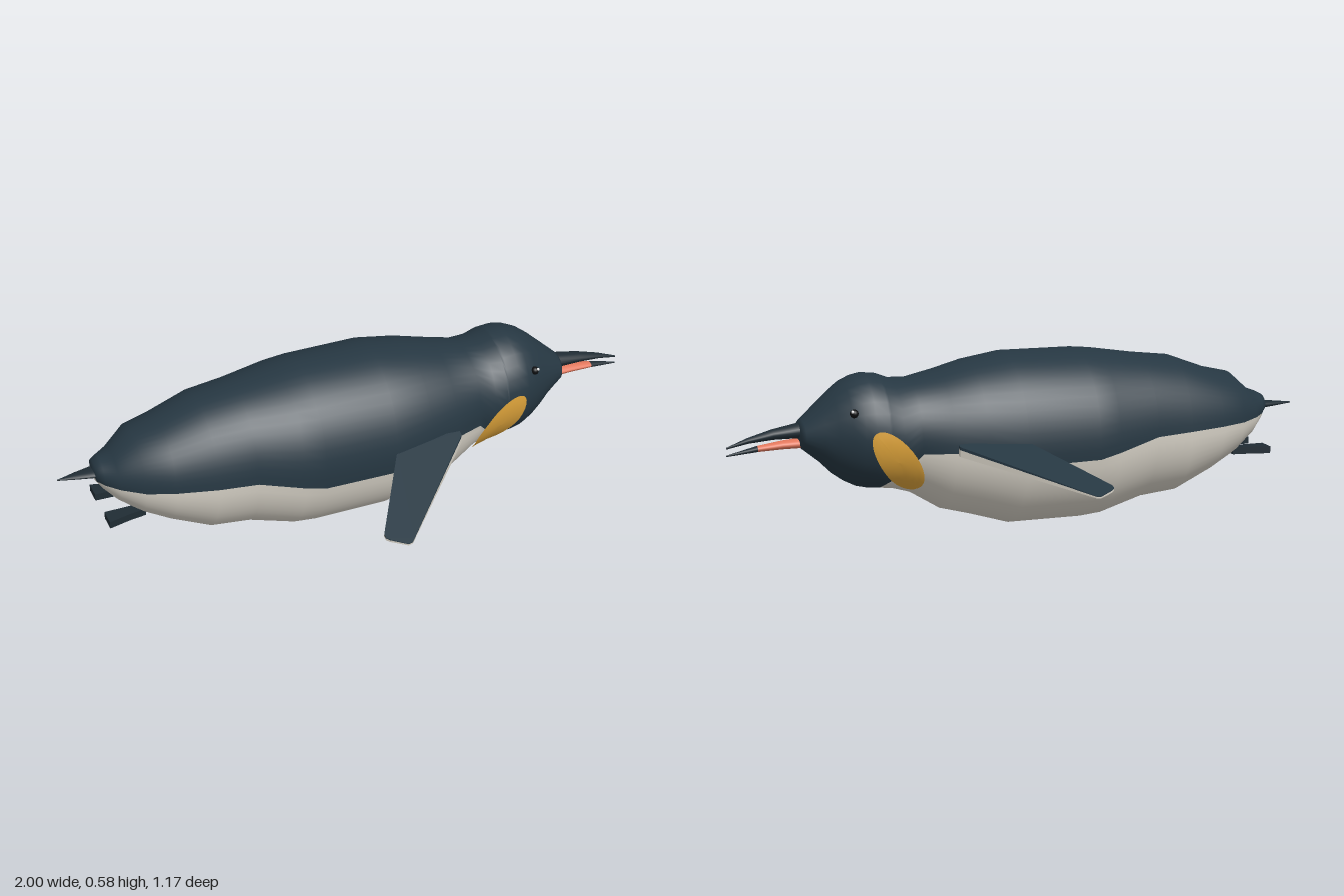
import * as THREE from 'three';

const mat = (name, color, side = THREE.FrontSide) => {
  const m = new THREE.MeshStandardMaterial({ color, side });
  m.name = name;
  return m;
};

// Body stations along x: [x, bottom, top, half width]
const BODY = [
  [-0.885, 0.34, 0.345, 0.002], [-0.88, 0.31, 0.375, 0.045], [-0.86, 0.28, 0.385, 0.065],
  [-0.82, 0.235, 0.4, 0.1], [-0.75, 0.178, 0.462, 0.147], [-0.66, 0.128, 0.483, 0.178],
  [-0.53, 0.067, 0.532, 0.207], [-0.4, 0.055, 0.548, 0.22], [-0.25, 0.012, 0.572, 0.252],
  [-0.18, 0.006, 0.579, 0.257], [0.07, 0.008, 0.582, 0.257], [0.2, 0.048, 0.562, 0.235],
  [0.3, 0.075, 0.536, 0.215], [0.4, 0.137, 0.515, 0.178], [0.46, 0.155, 0.518, 0.174],
  [0.5, 0.16, 0.534, 0.175], [0.508, 0.161, 0.536, 0.175], [0.55, 0.165, 0.54, 0.174],
  [0.585, 0.173, 0.533, 0.166], [0.62, 0.191, 0.518, 0.15], [0.66, 0.22, 0.488, 0.125],
  [0.7, 0.26, 0.452, 0.1], [0.755, 0.305, 0.402, 0.07], [0.766, 0.315, 0.392, 0.05],
  [0.768, 0.352, 0.354, 0.002],
];
const BIB_END = 0.508;

// Height where the belly meets the back: [x, y]
const SEAM = [
  [-0.885, 0.32], [-0.79, 0.31], [-0.53, 0.305], [-0.4, 0.3], [-0.18, 0.248], [-0.05, 0.24],
  [0.07, 0.245], [0.3, 0.298], [0.4, 0.295], [0.46, 0.225], [0.5, 0.19], [BIB_END, 0.16], [1, 0],
];

// Row of a table interpolated at x
function rowAt(table, x) {
  const i = Math.max(1, table.findIndex((r) => r[0] >= x)), a = table[i - 1], b = table[i];
  return a.map((v, n) => THREE.MathUtils.mapLinear(x, a[0], b[0], v, b[n]));
}

const radii = ([, bot, top]) => [(bot + top) / 2, (top - bot) / 2];

// Indexed grid of rows x columns, facing out along row direction x column direction
function grid(pos, rows, cols) {
  const index = [];
  for (let i = 1; i < rows; i++) {
    for (let j = 1; j < cols; j++) {
      const q = i * cols + j, p = q - cols;
      index.push(p - 1, q - 1, p, q - 1, q, p);
    }
  }
  const g = new THREE.BufferGeometry();
  g.setAttribute('position', new THREE.Float32BufferAttribute(pos, 3));
  g.setIndex(index);
  g.computeVertexNormals();
  return g;
}

// Skin of elliptical cross-sections; range gives the start and end angle of each
function skin(stations, range = () => [0, 2 * Math.PI], seg = 28) {
  const pos = [];
  for (const s of stations) {
    const [cy, h] = radii(s), [a, b] = range(s);
    for (let j = 0; j <= seg; j++) {
      const t = a + (b - a) * j / seg;
      pos.push(s[0], cy + h * Math.sin(t), s[3] * Math.cos(t));
    }
  }
  return grid(pos, stations.length, seg + 1);
}

// Angle at which the colour line crosses a body station
function seam(s) {
  const [cy, h] = radii(s);
  return Math.asin(THREE.MathUtils.clamp((rowAt(SEAM, s[0])[1] - cy) / h, -1, 1));
}

// Distance of the body surface from the middle plane at (x, y)
function surfaceZ(x, y) {
  const s = rowAt(BODY, x), [cy, h] = radii(s);
  return s[3] * Math.sqrt(Math.max(0, 1 - ((y - cy) / h) ** 2));
}

// Plate with an (x, z) outline whose two faces follow height rules of z
function plate(outline, side, topAt, bottomAt) {
  const shape = new THREE.Shape(outline.map(([x, z]) => new THREE.Vector2(x, z * side)));
  const g = new THREE.ExtrudeGeometry(shape, { depth: 1, bevelEnabled: false });
  const p = g.attributes.position;
  for (let i = 0; i < p.count; i++) {
    const z = p.getY(i), w = Math.abs(z);
    p.setXYZ(i, p.getX(i), THREE.MathUtils.lerp(topAt(w), bottomAt(w), p.getZ(i)), z);
  }
  g.computeVertexNormals();
  return g;
}

// Slanted oval laid just above the side of the neck
function neckPatch(side) {
  const pos = [], rings = 6, seg = 32, c = Math.cos(0.9), s = Math.sin(0.9);
  for (let r = 0; r <= rings; r++) {
    for (let j = 0; j <= seg; j++) {
      const t = side * j / seg * 2 * Math.PI;
      const u = 0.126 * r / rings * Math.cos(t), v = 0.054 * r / rings * Math.sin(t);
      const x = 0.48 + u * c - v * s, y = 0.275 + u * s + v * c;
      const drop = Math.max(0, 0.34 - y) * 0.03;
      pos.push(x, y - drop, side * (surfaceZ(x, y) + 0.006));
    }
  }
  return grid(pos, rings + 1, seg + 1);
}

export function createModel() {
  const navy = mat('darkPlumage', 0x263742);
  const white = mat('paleBelly', 0xd6d1c6);
  const gold = mat('goldenNeck', 0xdca23a, THREE.DoubleSide);
  const orange = mat('orangeBill', 0xe2775c);
  const black = mat('darkHorn', 0x202c34);
  const eyeBlack = mat('eyeBlack', 0x0c0d0f);
  const glint = mat('eyeGlint', 0xe8e8e8);

  const model = new THREE.Group();
  model.name = 'penguin';
  const add = (name, geometry, material, x = 0, y = 0, z = 0) => {
    const m = new THREE.Mesh(geometry, material);
    m.name = name;
    m.position.set(x, y, z);
    model.add(m);
  };

  // Body and head, split along the colour line
  const bib = BODY.filter((s) => s[0] <= BIB_END);
  add('backAndHead', skin(BODY, (s) => [seam(s), Math.PI - seam(s)]), navy);
  add('belly', skin(bib, (s) => [Math.PI - seam(s), 2 * Math.PI + seam(s)]), white);

  // Slightly open beak
  add('upperBeak', skin([[0.74, 0.342, 0.396, 0.035], [0.85, 0.343, 0.376, 0.024],
    [0.93, 0.336, 0.354, 0.013], [1, 0.322, 0.328, 0.001]], undefined, 16), black);
  add('lowerBeak', skin([[0.74, 0.31, 0.343, 0.032], [0.82, 0.31, 0.337, 0.024],
    [0.9, 0.307, 0.326, 0.015]], undefined, 16), orange);
  add('lowerBeakTip', skin([[0.9, 0.307, 0.326, 0.015], [1, 0.298, 0.303, 0.001]], undefined, 16), black);

  // Pointed tail
  add('tail', skin([[-1, 0.333, 0.337, 0.001], [-0.94, 0.328, 0.344, 0.018],
    [-0.85, 0.32, 0.352, 0.038]], undefined, 16), black);

  // Flipper layers: dark above, pale below, thinning to the tip
  const flipper = [[0.3, 0.225], [0.3, 0.24], [-0.015, 0.572], [-0.025, 0.582], [-0.04, 0.585],
    [-0.09, 0.555], [-0.1, 0.545], [-0.1, 0.53], [0.065, 0.25], [0.08, 0.215]];
  const top = (z) => 0.333 - 0.318 * (z - 0.215);
  const thick = (z) => THREE.MathUtils.mapLinear(z, 0.215, 0.585, 0.034, 0.007);
  const mid = (z) => top(z) - 0.3 * thick(z);
  const low = (z) => top(z) - thick(z);
  const foot = [[-0.74, 0.05], [-0.74, 0.085], [-0.8, 0.095], [-0.868, 0.113], [-0.868, 0.052]];

  // Mirrored parts
  for (const side of [1, -1]) {
    // Facing +x, the creature's near side is +z
    const n = side > 0 ? 'near' : 'far';
    add(n + 'FlipperTop', plate(flipper, side, top, mid), navy);
    add(n + 'FlipperUnderside', plate(flipper, side, mid, low), white);
    add(n + 'Foot', plate(foot, side, () => 0.21, () => 0.186), black);
    add(n + 'NeckPatch', neckPatch(side), gold);
    const z = side * surfaceZ(0.615, 0.435);
    add(n + 'Eye', new THREE.SphereGeometry(0.014, 16, 12), eyeBlack, 0.615, 0.435, z);
    add(n + 'EyeGlint', new THREE.SphereGeometry(0.005, 10, 8), glint, 0.623, 0.443, z + side * 0.009);
  }
  return model;
}
